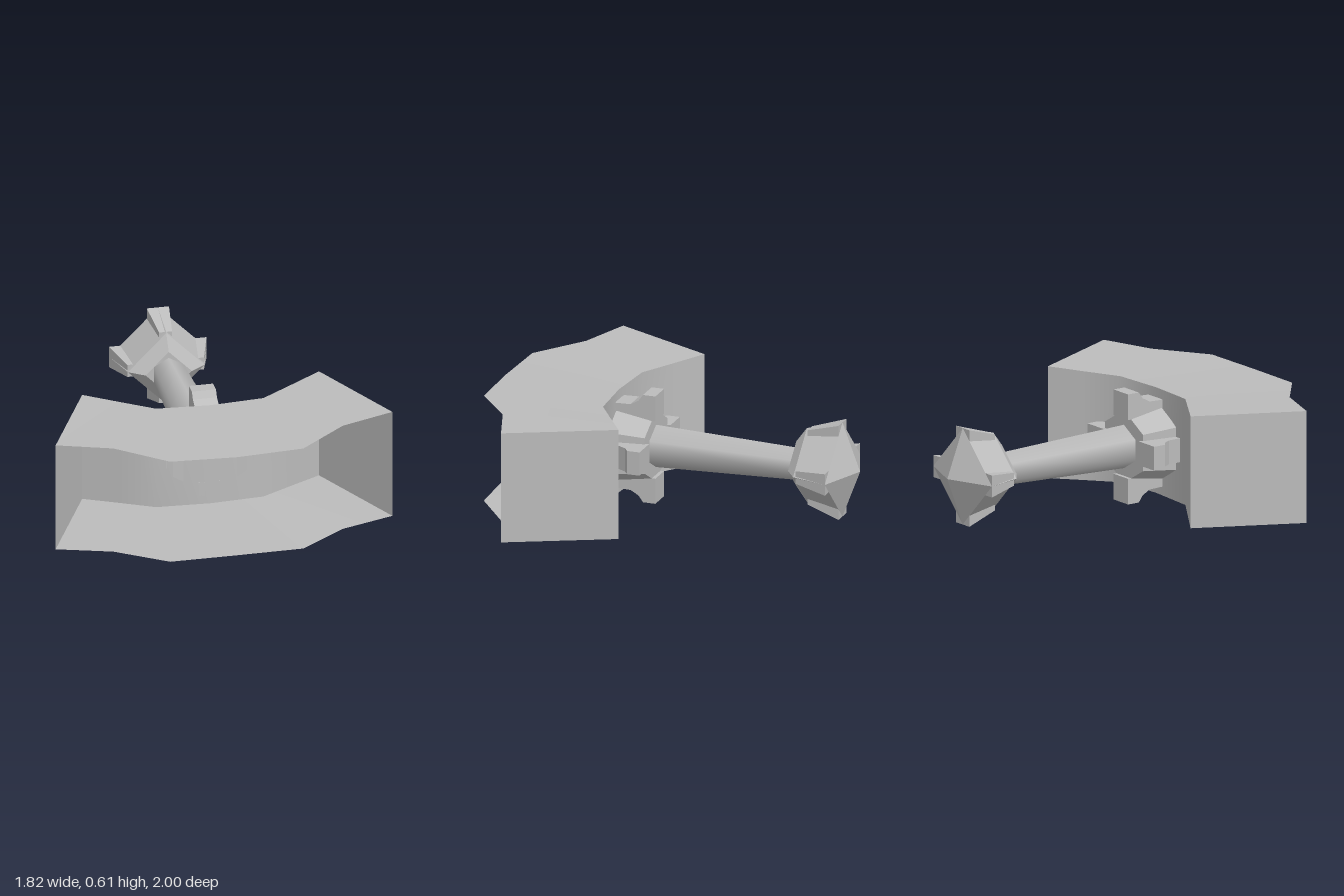
import * as THREE from 'three';

const MID = 0.305; // height of the handle axis
const HEIGHT = 0.61;

export function createModel() {
  const group = new THREE.Group();
  const steel = new THREE.MeshStandardMaterial({ color: 0xbcbcbc, side: THREE.DoubleSide });
  steel.name = 'grey steel';

  const add = (name, geometry, parent = group) => {
    const mesh = new THREE.Mesh(geometry, steel);
    mesh.name = name;
    parent.add(mesh);
    return mesh;
  };
  const flat = (g) => {
    const out = g.index ? g.toNonIndexed() : g;
    out.computeVertexNormals();
    return out;
  };

  // Strip surface between two rows of points
  const strip = (a, b) => {
    const index = [];
    const n = a.length;
    for (let i = 0; i < n - 1; i++) index.push(i, n + i, i + 1, i + 1, n + i, n + i + 1);
    const g = new THREE.BufferGeometry();
    g.setAttribute('position', new THREE.Float32BufferAttribute([...a, ...b].flat(), 3));
    g.setIndex(index);
    g.computeVertexNormals();
    return g;
  };

  // Half outlines as [x, z, sag], mirrored across x = 0
  const mirror = (half) => [
    ...half.map(([x, z, s]) => [-x, z, s]),
    ...half.slice(0, -1).reverse(),
  ];
  const back = mirror([[0.64, 0.12, 0], [0.465, 0.23, 0.0075], [0.29, 0.34, 0.014], [0, 0.36, 0.015]]);
  const front = mirror([[0.91, 0.68, 0], [0.62, 0.78, 0.002], [0.36, 0.985, 0.01], [0, 1, 0.015]]);
  const top = (row) => row.map(([x, z, s]) => [x, HEIGHT - s, z]);
  const bottom = (row) => row.map(([x, z, s]) => [x, s * 1.3, z]);

  // Hollow head, open at the front
  add('headTopPlate', strip(top(back), top(front)));
  add('headBottomPlate', strip(bottom(front), bottom(back)));
  add('headBackWall', strip(bottom(back), top(back)));
  const rightEnd = [front[0], back[0]];
  const leftEnd = [back[6], front[6]];
  add('headRightWall', strip(bottom(rightEnd), top(rightEnd)));
  add('headLeftWall', strip(bottom(leftEnd), top(leftEnd)));

  // Tapered prism along z, with a corner pointing up
  const prism = (z0, r0, z1, r1, sides, open = false) => {
    const g = new THREE.CylinderGeometry(r1, r0, z0 - z1, sides, 1, open);
    g.rotateX(-Math.PI / 2);
    g.translate(0, MID, (z0 + z1) / 2);
    return g;
  };
  add('handle', prism(0.17, 0.119, -0.66, 0.09, 6, true));
  add('collar', flat(prism(0.35, 0.231, 0.15, 0.198, 6)));

  // Four-sided pommel
  add('pommelNeck', flat(prism(-0.64, 0.125, -0.7, 0.207, 4)));
  add('pommelBody', flat(prism(-0.7, 0.207, -0.9, 0.263, 4, true)));
  add('pommelTip', flat(prism(-0.9, 0.263, -1, 0, 4, true)));

  // Stepped collar lug, pointing along +x
  const collarLug = (end) => {
    const profile = new THREE.Shape([
      [0.16, 0.13], [0.3, 0.13], [0.3, 0.2], [0.265, 0.225],
      [0.24, 0.27], [0.237, end], [0.16, end],
    ].map(([r, z]) => new THREE.Vector2(r, z)));
    const g = new THREE.ExtrudeGeometry(profile, { depth: 0.13, bevelEnabled: false });
    g.translate(0, 0, -0.065);
    g.rotateX(Math.PI / 2);
    return g;
  };

  // Flared pommel lug, pointing along +x
  const pommelLug = () => {
    const g = new THREE.BoxGeometry(1, 1, 1);
    const p = g.attributes.position;
    for (let i = 0; i < p.count; i++) {
      const tip = p.getZ(i) < 0;
      const outer = tip ? 0.263 : 0.207;
      const half = tip ? 0.06 : 0.035;
      p.setXYZ(i, p.getX(i) > 0 ? outer : 0.13, Math.sign(p.getY(i)) * half, tip ? -0.9 : -0.715);
    }
    return flat(g);
  };

  // Four lugs around the axis at each end of the handle
  for (let k = 0; k < 4; k++) {
    const ring = new THREE.Group();
    ring.name = 'lugPair' + (k + 1);
    ring.position.y = MID;
    ring.rotation.z = k * Math.PI / 2;
    add('collarLug', collarLug(k % 2 ? 0.358 : 0.344), ring);
    add('pommelLug', pommelLug(), ring);
    group.add(ring);
  }
  return group;
}
